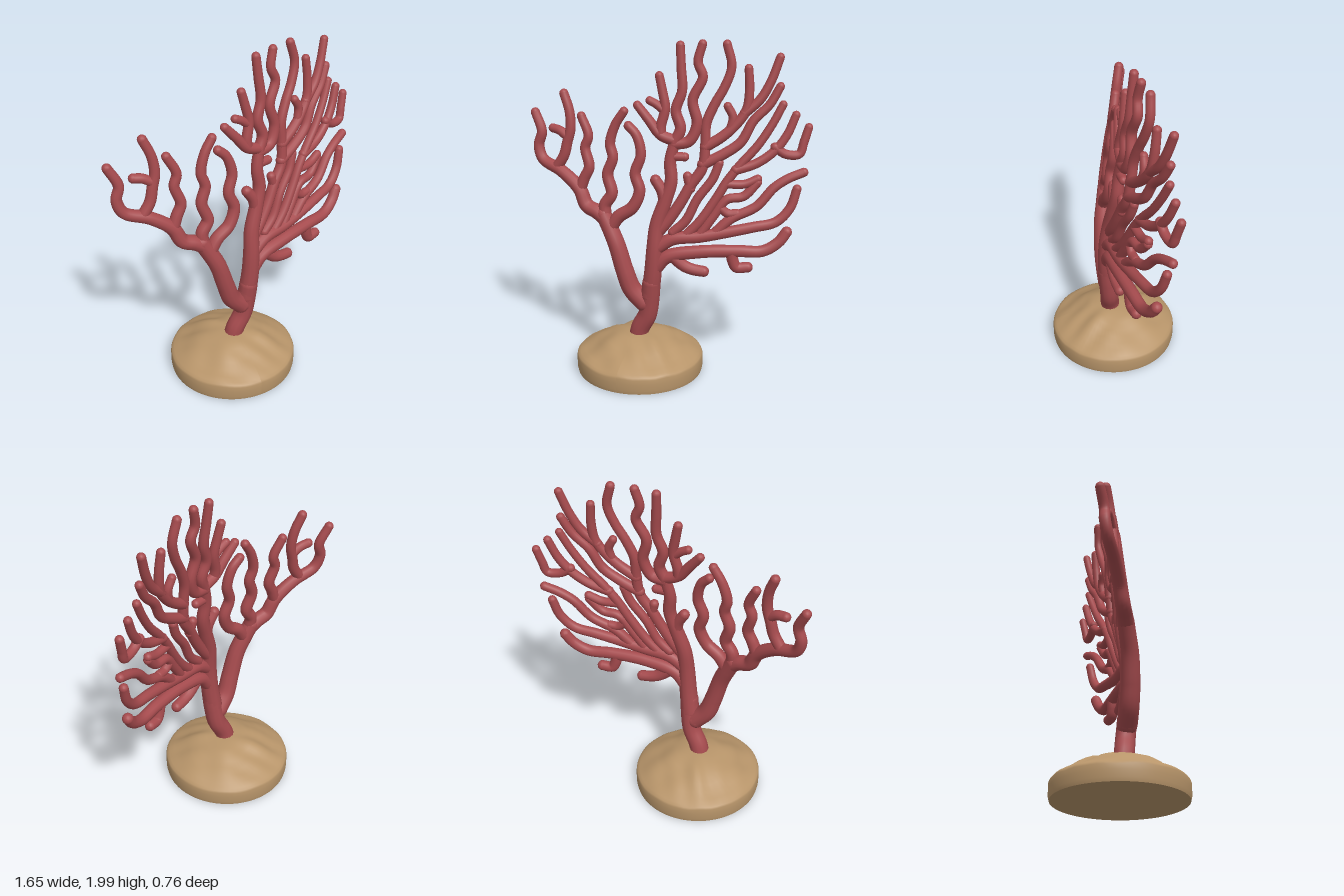
import * as THREE from 'three';
import { mergeGeometries } from 'three/addons/utils/BufferGeometryUtils.js';

// The whole fan lies on one curved sheet: depth follows from x and height.
function sheetZ(x, y) {
  const d = x + 0.2;
  const bow = d > 0 ? 0.28 * Math.pow(d, 1.65) : 0.16 * d * d;
  return 0.04 - bow - 0.105 * Math.max(y - 1, -0.2) - 0.1 * Math.max(0.6 - y, 0);
}

// Tapered, round-ended tube through x, y pairs laid on the sheet.
function branchGeometry(r0, r1, xy) {
  const pts = [];
  for (let i = 0; i < xy.length; i += 2) {
    pts.push(new THREE.Vector3(xy[i], xy[i + 1], sheetZ(xy[i], xy[i + 1])));
  }
  const curve = new THREE.CatmullRomCurve3(pts);
  const rings = pts.length * 6, sides = 12;
  const tube = new THREE.TubeGeometry(curve, rings, 1, sides, false);
  const pos = tube.attributes.position, v = new THREE.Vector3();
  for (let i = 0; i <= rings; i++) {
    const c = curve.getPointAt(i / rings);
    const r = r0 + (r1 - r0) * (i / rings);
    for (let j = 0; j <= sides; j++) {
      const k = i * (sides + 1) + j;
      v.fromBufferAttribute(pos, k).sub(c).multiplyScalar(r).add(c);
      pos.setXYZ(k, v.x, v.y, v.z);
    }
  }
  const ball = (p, r) => new THREE.SphereGeometry(r, 12, 10).translate(p.x, p.y, p.z);
  return mergeGeometries([tube, ball(pts[0], r0), ball(pts[pts.length - 1], r1)]);
}

export function createModel() {
  const group = new THREE.Group();
  const coral = new THREE.MeshStandardMaterial({ color: 0xa64b4e });
  const sand = new THREE.MeshStandardMaterial({ color: 0xb8956a });

  const branch = (name, r0, r1, ...xy) => {
    const mesh = new THREE.Mesh(branchGeometry(r0, r1, xy), coral);
    mesh.name = name;
    group.add(mesh);
  };

  // Trunk and left bough
  branch('trunkFoot', 0.058, 0.055, -0.12, 0.17, -0.1, 0.27, -0.05, 0.37, -0.03, 0.48, -0.02, 0.58);
  branch('trunk', 0.056, 0.032, -0.03, 0.5, -0.01, 0.65, 0, 0.8, 0.01, 0.94, 0.05, 1.08, 0.08, 1.2, 0.07, 1.31, 0.09, 1.42);
  branch('trunkSpur', 0.036, 0.031, 0.05, 1.07, 0.03, 1.14, -0.01, 1.2);
  branch('leftBough', 0.058, 0.047, -0.07, 0.45, -0.14, 0.53, -0.18, 0.64, -0.23, 0.8, -0.28, 0.9, -0.32, 0.97);

  // Left fan
  branch('leftLimb', 0.046, 0.027, -0.31, 0.95, -0.36, 0.98, -0.43, 1.01, -0.48, 1.1, -0.6, 1.19, -0.74, 1.25, -0.77, 1.33, -0.75, 1.41, -0.8, 1.52);
  branch('leftTwigA', 0.04, 0.027, -0.27, 0.9, -0.22, 0.97, -0.14, 1.03, -0.1, 1.13, -0.13, 1.23, -0.1, 1.34, -0.13, 1.45, -0.18, 1.5);
  branch('leftTwigB', 0.038, 0.026, -0.31, 0.97, -0.31, 1.03, -0.27, 1.1, -0.3, 1.21, -0.27, 1.31, -0.29, 1.39, -0.26, 1.5, -0.21, 1.58);
  branch('leftTwigC', 0.035, 0.026, -0.48, 1.09, -0.45, 1.17, -0.42, 1.24, -0.45, 1.35, -0.43, 1.42, -0.48, 1.53);
  branch('leftTwigD', 0.033, 0.027, -0.64, 1.21, -0.59, 1.29, -0.57, 1.37, -0.55, 1.45, -0.56, 1.55, -0.6, 1.65);
  branch('leftTwigE', 0.028, 0.027, -0.57, 1.4, -0.62, 1.43, -0.67, 1.44);

  // Crown above the trunk
  branch('crownTwigA', 0.034, 0.025, 0.09, 1.43, 0.01, 1.46, -0.06, 1.54, -0.13, 1.62);
  branch('crownTwigB', 0.031, 0.025, 0.01, 1.46, 0.01, 1.51, 0.03, 1.61, 0.01, 1.71, -0.01, 1.79);
  branch('crownTwigC', 0.025, 0.024, 0.02, 1.6, -0.02, 1.63, -0.06, 1.65);
  branch('crownTwigD', 0.034, 0.025, 0.09, 1.42, 0.12, 1.5, 0.09, 1.6, 0.12, 1.71, 0.11, 1.84, 0.1, 1.96);
  branch('crownTwigE', 0.034, 0.025, 0.09, 1.41, 0.17, 1.43, 0.21, 1.53, 0.18, 1.66, 0.23, 1.79, 0.2, 1.87, 0.22, 1.97);
  branch('crownSpur', 0.028, 0.026, 0.08, 1.34, 0.15, 1.34);

  // Long middle limb and its twigs
  branch('middleLimb', 0.034, 0.025, 0.02, 0.9, 0.08, 0.98, 0.14, 1.08, 0.19, 1.18, 0.25, 1.28, 0.26, 1.42, 0.26, 1.53, 0.3, 1.64, 0.35, 1.74, 0.38, 1.85, 0.35, 1.97);
  branch('middleSpur', 0.028, 0.027, 0.19, 1.16, 0.17, 1.23);
  branch('middleTwigA', 0.032, 0.024, 0.26, 1.4, 0.35, 1.46, 0.42, 1.53, 0.47, 1.61, 0.48, 1.72, 0.47, 1.84);
  branch('middleTwigB', 0.026, 0.024, 0.39, 1.5, 0.4, 1.57, 0.37, 1.63);
  branch('middleTwigC', 0.028, 0.024, 0.46, 1.59, 0.54, 1.67, 0.59, 1.77, 0.63, 1.9);
  branch('middleTwigD', 0.032, 0.024, 0.25, 1.3, 0.36, 1.36, 0.45, 1.43, 0.51, 1.55, 0.59, 1.64, 0.64, 1.74);

  // Right fan, upper limbs
  branch('rightLimbA', 0.028, 0.026, 0.1, 0.9, 0.17, 0.97, 0.23, 1.1, 0.31, 1.22, 0.34, 1.31);
  branch('rightLimbB', 0.029, 0.023, 0.17, 0.88, 0.25, 0.97, 0.33, 1.1, 0.39, 1.21, 0.46, 1.31, 0.54, 1.41, 0.61, 1.53, 0.66, 1.64);
  branch('rightTwigA', 0.026, 0.025, 0.38, 1.19, 0.48, 1.19, 0.55, 1.22);
  branch('rightTwigB', 0.029, 0.024, 0.43, 1.27, 0.54, 1.31, 0.63, 1.38, 0.69, 1.47, 0.73, 1.58);
  branch('rightTwigC', 0.027, 0.024, 0.63, 1.4, 0.69, 1.36, 0.76, 1.36, 0.78, 1.43, 0.8, 1.51);

  // Right fan, lower limbs
  branch('lowerLimbA', 0.04, 0.026, 0.01, 0.8, 0.1, 0.86, 0.25, 0.88, 0.4, 0.91, 0.54, 0.94, 0.66, 0.97, 0.73, 1.05, 0.76, 1.16);
  branch('lowerTwigA', 0.03, 0.026, 0.33, 0.9, 0.42, 0.99, 0.55, 1.06, 0.64, 1.17, 0.71, 1.22, 0.79, 1.255);
  branch('lowerTwigB', 0.028, 0.026, 0.25, 0.89, 0.32, 1, 0.39, 1.1, 0.48, 1.12, 0.55, 1.2);
  branch('lowerSpur', 0.026, 0.026, 0.36, 1.05, 0.4, 1.02, 0.45, 1.02);
  branch('lowerLimbB', 0.042, 0.032, 0, 0.67, 0.07, 0.75, 0.25, 0.79, 0.46, 0.8, 0.6, 0.8, 0.68, 0.85, 0.72, 0.91);
  branch('hangingTwigA', 0.036, 0.032, 0.1, 0.76, 0.17, 0.7, 0.22, 0.68, 0.28, 0.67);
  branch('hangingTwigB', 0.035, 0.031, 0.43, 0.8, 0.44, 0.74, 0.46, 0.7, 0.52, 0.7);

  // Sandy base: flat underside, upright rim and lumpy mound in one turned shape
  const profile = [[0, 0.008], [0.375, 0.008], [0.375, 0.008], [0.38, 0.03], [0.381, 0.07], [0.38, 0.1],
    [0.375, 0.113], [0.36, 0.124], [0.33, 0.141], [0.29, 0.16], [0.25, 0.182], [0.21, 0.203], [0.17, 0.225],
    [0.13, 0.24], [0.08, 0.246], [0.04, 0.248], [0, 0.248]].map(([r, y]) => new THREE.Vector2(r, y));
  const baseGeometry = new THREE.LatheGeometry(profile, 72);
  const pos = baseGeometry.attributes.position;
  for (let i = 0; i < pos.count; i++) {
    const x = pos.getX(i), y = pos.getY(i), z = pos.getZ(i), r = Math.hypot(x, z);
    const ripple = Math.sin(x * 23 + 1) * Math.cos(z * 19 + 0.5) + 0.6 * Math.sin(x * 37 - z * 31);
    const fade = THREE.MathUtils.smoothstep(r, 0.05, 0.2) * (1 - 0.7 * THREE.MathUtils.smoothstep(r, 0.25, 0.375));
    if (y > 0.09) pos.setY(i, y + 0.01 * ripple * fade);
  }
  baseGeometry.computeVertexNormals();
  const base = new THREE.Mesh(baseGeometry.translate(-0.11, 0, 0), sand);
  base.name = 'sandyBase';
  group.add(base);

  return group;
}
